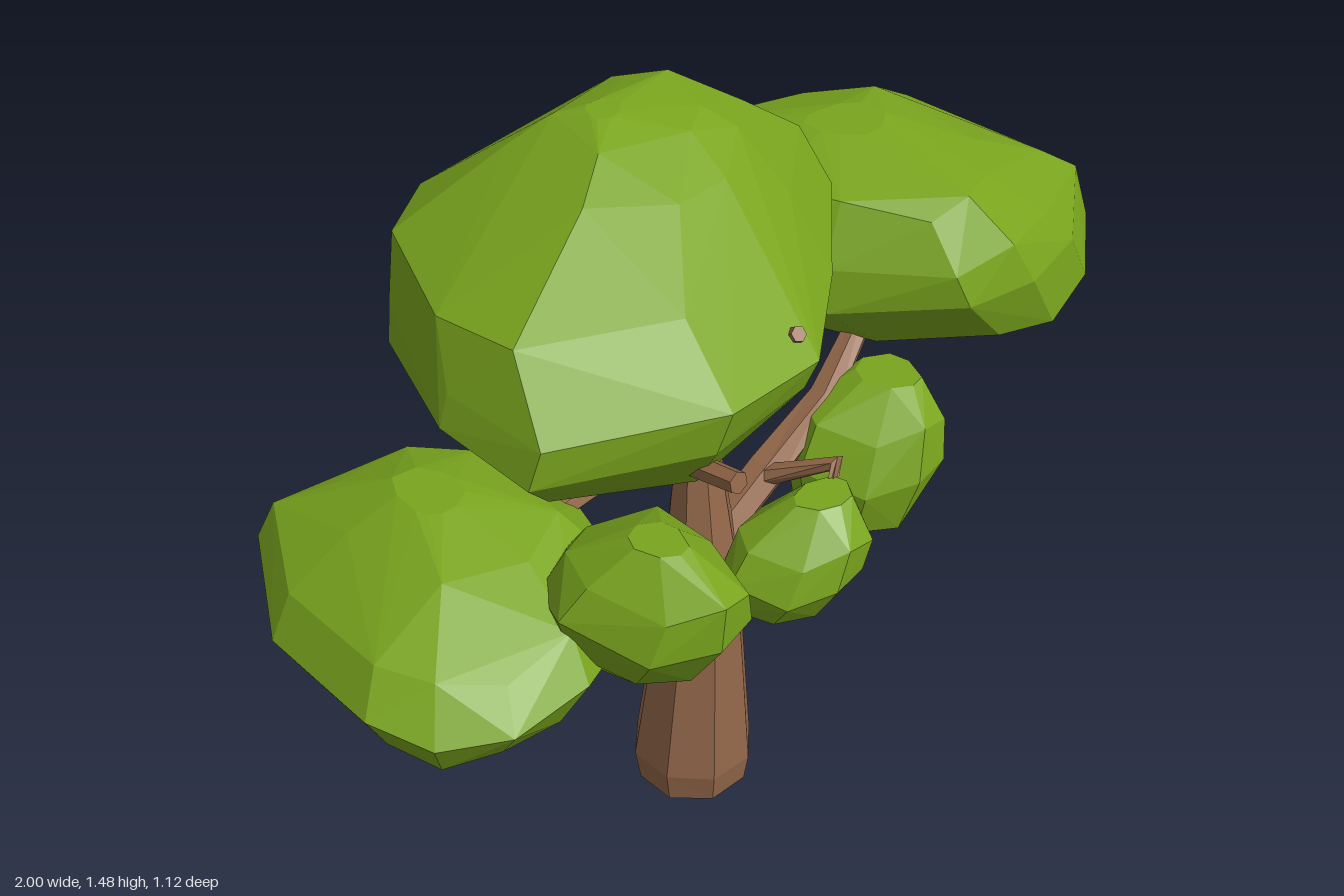
import * as THREE from 'three';
import { ConvexGeometry } from 'three/addons/geometries/ConvexGeometry.js';

const leaf = new THREE.MeshStandardMaterial({ color: 0x7aa51e, flatShading: true });
const bark = new THREE.MeshStandardMaterial({ color: 0x94684a, flatShading: true });

// Faceted leaf clump: hull around rings [y, xMin, xMax, zMin, zMax], each filled
// by the clump's plan outline (points [x, z] from -1 to 1)
function clump(name, outline, rings) {
  const pts = [];
  rings.forEach(([y, x0, x1, z0, z1], k) => {
    const inner = k > 0 && k < rings.length - 1;
    outline.forEach(([u, v], i) => {
      pts.push(new THREE.Vector3(
        (x0 + x1) / 2 + u * (x1 - x0) / 2,
        y + (inner ? Math.sin(i * 2.3 + k) * 0.015 : 0),
        (z0 + z1) / 2 + v * (z1 - z0) / 2));
    });
  });
  const mesh = new THREE.Mesh(new ConvexGeometry(pts), leaf);
  mesh.name = name;
  return mesh;
}

// Tapered limb through points [x, y, z, radius], with closed ends
function limb(name, path, sides) {
  const centres = path.map(([x, y, z]) => new THREE.Vector3(x, y, z));
  const up = new THREE.Vector3(0, 1, 0);
  const last = path.length - 1;
  const rings = centres.map((c, k) => {
    const dir = centres[Math.min(k + 1, last)].clone()
      .sub(centres[Math.max(k - 1, 0)]).normalize();
    const q = new THREE.Quaternion().setFromUnitVectors(up, dir);
    return Array.from({ length: sides }, (_, i) => {
      const a = ((i + 0.5) / sides) * Math.PI * 2;
      return new THREE.Vector3(Math.cos(a), 0, Math.sin(a))
        .multiplyScalar(path[k][3]).applyQuaternion(q).add(c);
    });
  });
  const pos = [];
  const tri = (...v) => v.forEach((p) => pos.push(p.x, p.y, p.z));
  for (let i = 0; i < sides; i++) {
    const j = (i + 1) % sides;
    for (let k = 0; k < last; k++) {
      tri(rings[k][i], rings[k + 1][i], rings[k + 1][j]);
      tri(rings[k][i], rings[k + 1][j], rings[k][j]);
    }
    tri(centres[0], rings[0][i], rings[0][j]);
    tri(centres[last], rings[last][j], rings[last][i]);
  }
  const geo = new THREE.BufferGeometry();
  geo.setAttribute('position', new THREE.Float32BufferAttribute(pos, 3));
  geo.computeVertexNormals();
  const mesh = new THREE.Mesh(geo, bark);
  mesh.name = name;
  return mesh;
}

// Plan outlines of the clumps
const topPlan = [[-1, 0.05], [-0.96, 0.59], [-0.38, 1], [0.12, 0.92], [0.56, 0.5],
  [1, 0], [0.82, -0.59], [0.43, -1], [-0.45, -1], [-0.76, -0.72]];
const leftPlan = [[-1, -0.77], [-0.66, -0.98], [-0.31, -1], [0.5, -0.84], [0.91, -0.45],
  [1, 0.45], [0.54, 0.84], [0.08, 1], [-0.31, 0.95], [-0.75, 0.45], [-0.98, -0.06]];
const rightPlan = [[-0.5, -1], [0.38, -0.92], [0.8, -0.42], [1, 0.15], [0.79, 0.7],
  [0.07, 1], [-0.46, 1], [-0.82, 0.79], [-1, 0.48], [-0.93, -0.36]];
const smallPlan = [[-1, -0.2], [-0.65, 0.65], [0, 1], [0.6, 0.88], [1, 0.05],
  [0.85, -0.6], [0, -1], [-0.7, -0.75]];

export function createModel() {
  const tree = new THREE.Group();
  tree.name = 'tree';

  // Trunk and branches
  tree.add(
    limb('trunk', [
      [-0.105, 0.005, -0.02, 0.112], [-0.105, 0.07, -0.02, 0.122], [-0.095, 0.35, -0.01, 0.092],
      [-0.09, 0.58, -0.005, 0.07], [-0.085, 0.8, -0.015, 0.042], [-0.08, 1.05, -0.02, 0.034]], 8),
    limb('leftBranch', [
      [-0.09, 0.56, 0, 0.04], [0.08, 0.66, -0.005, 0.04],
      [0.24, 0.745, -0.01, 0.034], [0.4, 0.85, -0.06, 0.024]], 6),
    limb('leftTwig', [
      [0.06, 0.66, 0, 0.022], [0.13, 0.725, 0.13, 0.018], [0.06, 0.63, 0.17, 0.012]], 6),
    limb('rightBranch', [
      [-0.085, 0.84, -0.01, 0.036], [-0.24, 0.905, 0.03, 0.034],
      [-0.4, 0.95, 0.08, 0.028], [-0.62, 0.94, 0.11, 0.016]], 6),
    limb('upperTwig', [
      [-0.35, 0.95, 0.07, 0.024], [-0.352, 1.05, 0.24, 0.022], [-0.352, 1.075, 0.37, 0.02]], 6),
    limb('crownTwig', [
      [-0.08, 1.0, -0.02, 0.025], [-0.13, 1.15, 0.2, 0.018], [-0.15, 1.23, 0.3, 0.014]], 6),
  );

  // Leaf clumps
  tree.add(
    clump('topFoliage', topPlan, [
      [0.96, -0.36, 0.0, -0.2, 0.14], [1.02, -0.57, 0.17, -0.32, 0.26],
      [1.12, -0.65, 0.25, -0.39, 0.34], [1.19, -0.63, 0.26, -0.41, 0.36],
      [1.3, -0.59, 0.24, -0.41, 0.23], [1.41, -0.36, 0.11, -0.29, 0.09],
      [1.45, -0.27, 0.04, -0.23, 0.0], [1.48, -0.21, -0.14, -0.16, -0.1]]),
    clump('leftFoliage', leftPlan, [
      [0.69, 0.82, 0.9, -0.28, -0.15], [0.75, 0.42, 1.0, -0.43, 0.07],
      [0.83, 0.28, 1.0, -0.5, 0.19], [0.96, 0.13, 0.95, -0.56, 0.21],
      [1.04, 0.15, 0.85, -0.55, 0.19], [1.14, 0.24, 0.67, -0.44, 0.12],
      [1.19, 0.4, 0.54, -0.25, -0.12]]),
    clump('rightFoliage', rightPlan, [
      [0.76, -0.88, -0.69, -0.06, 0.25], [0.8, -0.96, -0.53, -0.18, 0.36],
      [0.87, -1.0, -0.44, -0.26, 0.4], [0.94, -0.95, -0.46, -0.25, 0.35],
      [1.0, -0.83, -0.52, -0.17, 0.22], [1.04, -0.74, -0.64, -0.06, 0.07]]),
    clump('rightSmallFoliage', smallPlan, [
      [0.82, -0.62, -0.52, 0.3, 0.38], [0.88, -0.68, -0.46, 0.22, 0.49],
      [0.97, -0.71, -0.43, 0.2, 0.56], [1.04, -0.67, -0.45, 0.24, 0.56],
      [1.1, -0.6, -0.52, 0.36, 0.46]]),
    clump('frontSmallFoliage', smallPlan, [
      [0.44, -0.03, 0.07, 0.08, 0.15], [0.5, -0.13, 0.11, 0.04, 0.22],
      [0.57, -0.14, 0.13, 0.03, 0.27], [0.64, -0.1, 0.15, 0.04, 0.27],
      [0.71, 0.0, 0.12, 0.12, 0.21]]),
    clump('leftSmallFoliage', smallPlan, [
      [0.49, 0.19, 0.29, 0.02, 0.11], [0.55, 0.13, 0.36, -0.04, 0.19],
      [0.65, 0.12, 0.41, -0.07, 0.22], [0.74, 0.17, 0.42, -0.07, 0.2],
      [0.8, 0.28, 0.39, 0.0, 0.13]]),
  );
  return tree;
}
